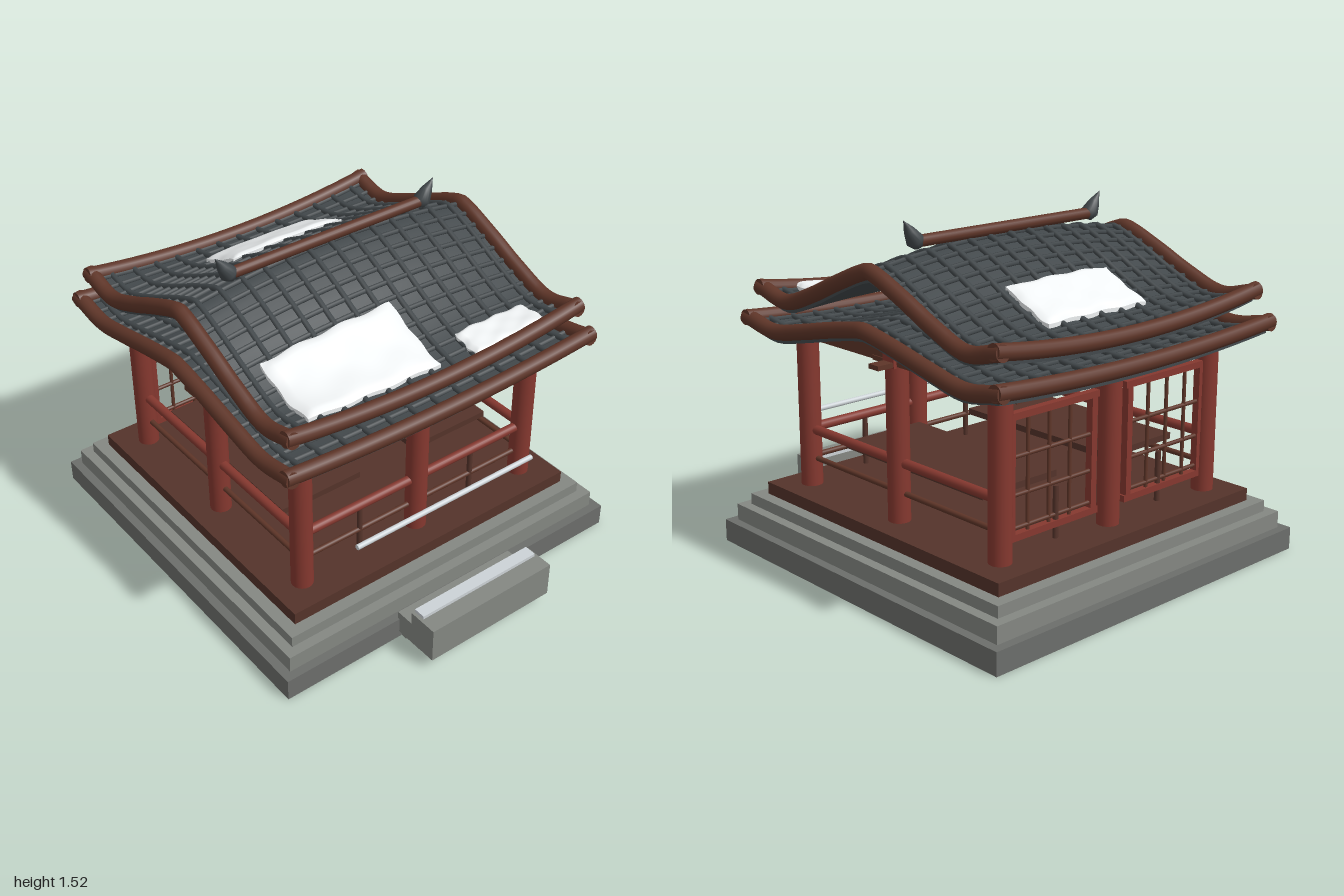
import * as THREE from 'three';
import { mergeGeometries } from 'three/addons/utils/BufferGeometryUtils.js';

const ZC = -0.115; // centre of the pavilion in z
const mat = (color) => new THREE.MeshStandardMaterial({ color });
const V = (x, y, z) => new THREE.Vector3(x, y, z);

export function createModel() {
  const root = new THREE.Group();
  const red = mat(0x85382f), brown = mat(0x5e3528), deckBrown = mat(0x54332a), tile = mat(0x42484b);
  const stone = mat(0x848782), darkStone = mat(0x6c6e6b), snow = mat(0xeef1f2), ice = mat(0xccd2d6);

  const add = (parent, name, geo, material) => {
    const m = new THREE.Mesh(geo, material);
    m.name = name;
    parent.add(m);
    return m;
  };
  // box given by its extents
  const box = (parent, name, material, x0, x1, y0, y1, z0, z1) => {
    const m = add(parent, name, new THREE.BoxGeometry(x1 - x0, y1 - y0, z1 - z0), material);
    m.position.set((x0 + x1) / 2, (y0 + y1) / 2, (z0 + z1) / 2);
    return m;
  };
  // straight round bar between two points
  const bar = (parent, name, material, a, b, r) => {
    const m = add(parent, name, new THREE.CylinderGeometry(r, r, a.distanceTo(b), 20), material);
    m.position.copy(a).lerp(b, 0.5);
    m.quaternion.setFromUnitVectors(V(0, 1, 0), b.clone().sub(a).normalize());
    return m;
  };
  // curved bar with flat ends
  const tube = (pts, r, sides, segs = pts.length * 2) => {
    const curve = new THREE.CatmullRomCurve3(pts);
    const cap = (t, sign) => {
      const d = curve.getTangent(t).multiplyScalar(sign), p = curve.getPoint(t);
      const q = new THREE.Quaternion().setFromUnitVectors(V(0, 0, 1), d);
      return new THREE.CircleGeometry(r, sides).applyQuaternion(q).translate(p.x, p.y, p.z);
    };
    return mergeGeometries([new THREE.TubeGeometry(curve, segs, r, sides), cap(0, -1), cap(1, 1)]);
  };
  const line = (n, f) => Array.from({ length: n + 1 }, (_, i) => f((i / n) * 2 - 1));

  // stepped stone base and wooden deck
  const tiers = [[0.885, 0, 0.1, darkStone], [0.845, 0.1, 0.175, stone], [0.8, 0.175, 0.225, stone], [0.745, 0.225, 0.28, deckBrown]];
  tiers.forEach(([h, y0, y1, m], i) => box(root, i < 3 ? 'baseTier' : 'deck', m, -h, h, y0, y1, ZC - h, ZC + h));

  // front steps
  box(root, 'stepFoot', stone, -0.295, 0.295, 0, 0.05, 0.74, 0.8);
  box(root, 'stepBack', stone, -0.31, 0.31, 0.03, 0.135, 0.76, 0.9);
  box(root, 'stepFront', stone, -0.325, 0.325, 0.055, 0.217, 0.863, 1);
  box(root, 'stepSnow', ice, -0.31, 0.31, 0.21, 0.232, 0.865, 0.92);

  // pillars with crossed brackets on top
  const P = 0.605, zF = ZC + P, zB = ZC - P;
  for (const x of [-P, 0, P]) for (const z of [zB, ZC, zF]) {
    if (x === 0 && z === ZC) continue;
    bar(root, 'pillar', red, V(x, 0.28, z), V(x, 0.955, z), 0.048);
    box(root, 'bracket', brown, x - 0.12, x + 0.12, 0.945, 0.965, z - 0.03, z + 0.03);
    box(root, 'bracket', brown, x - 0.03, x + 0.03, 0.947, 0.967, z - 0.12, z + 0.12);
  }

  // side beams, caps and railings
  for (const s of [-1, 1]) {
    const x = s * P;
    const shape = new THREE.Shape([[-0.62, 0.95], [0.62, 0.95], [0.45, 0.985], [0.1, 1.02], [-0.1, 1.02], [-0.45, 0.985]].map(([a, b]) => new THREE.Vector2(a, b)));
    const g = new THREE.ExtrudeGeometry(shape, { depth: 0.05, bevelEnabled: false });
    g.translate(0, 0, -0.025).rotateY(Math.PI / 2);
    add(root, 'sideBeam', g, brown).position.set(x, 0, ZC);
    box(root, 'beamCap', red, x - 0.045, x + 0.045, 0.94, 1.02, ZC - 0.035, ZC + 0.035);
    bar(root, 'sideRail', red, V(x, 0.535, zB), V(x, 0.535, zF), 0.021);
    bar(root, 'lowSideRail', brown, V(x, 0.405, zB), V(x, 0.405, zF), 0.012);
    // bench slabs and their supports
    const [a, b] = [0.15 * s, 0.56 * s].sort((p, q) => p - q);
    box(root, 'bench', deckBrown, a, b, 0.48, 0.508, -0.57, 0.295);
    for (const z of [-0.06, -0.22]) box(root, 'benchStub', deckBrown, 0.375 * s - 0.012, 0.375 * s + 0.012, 0.462, 0.485, z - 0.012, z + 0.012);
    for (const z of [zB, zF]) bar(root, 'railPost', deckBrown, V(0.305 * s, 0.3, z), V(0.305 * s, 0.52, z), 0.012);
  }
  bar(root, 'frontRail', red, V(-P, 0.535, zF), V(P, 0.535, zF), 0.021);
  bar(root, 'lowFrontRail', brown, V(-P, 0.405, zF), V(P, 0.405, zF), 0.012);
  bar(root, 'snowOnRail', ice, V(-0.475, 0.535, 0.69), V(0.475, 0.535, 0.69), 0.012);

  // lattice screens between the back pillars
  for (const s of [-1, 1]) {
    const screen = new THREE.Group();
    screen.name = 'latticeScreen';
    root.add(screen);
    for (const y of [0.365, 0.855]) box(screen, 'frameBar', red, s * 0.325 - 0.245, s * 0.325 + 0.245, y - 0.014, y + 0.014, zB - 0.016, zB + 0.016);
    for (const x of [0.105, 0.555]) box(screen, 'frameSide', red, s * x - 0.015, s * x + 0.015, 0.36, 0.86, zB - 0.016, zB + 0.016);
    for (const x of [0.23, 0.345, 0.46]) bar(screen, 'latticeUpright', brown, V(s * x, 0.36, zB), V(s * x, 0.86, zB), 0.008);
    for (const y of [0.4, 0.535, 0.69]) bar(screen, 'latticeBar', brown, V(s * 0.1, y, zB), V(s * 0.56, y, zB), 0.009);
  }

  // finial at a ridge end
  const finialGeo = new THREE.LatheGeometry([[0, 0], [0.022, 0], [0.038, 0.03], [0.024, 0.08], [0, 0.135]].map(([x, y]) => new THREE.Vector2(x, y)), 16);

  // roof: mid and rake are ridge-to-eave heights at the middle and at the gable ends
  const roof = (name, X, Z, mid, rake, ridgeY) => {
    const g = new THREE.Group();
    g.name = name;
    root.add(g);
    const spline = (ys) => new THREE.SplineCurve(ys.map((y, i) => new THREE.Vector2(i / (ys.length - 1), y)));
    const cm = spline(mid), cr = spline(rake);
    const surf = (x, z) => {
      const t = Math.min(1, Math.abs(z - ZC) / Z), u = Math.min(1, Math.abs(x / X)) ** 2;
      return THREE.MathUtils.lerp(cm.getPoint(t).y, cr.getPoint(t).y, u);
    };

    // curved slab
    const slab = new THREE.BoxGeometry(2 * X, 0.035, 2 * Z, 24, 1, 32).translate(0, -0.02, ZC);
    const p = slab.attributes.position;
    for (let i = 0; i < p.count; i++) p.setY(i, p.getY(i) + surf(p.getX(i), p.getZ(i)));
    slab.computeVertexNormals();
    add(g, 'roofSlab', slab, tile);

    // tile ribs down the slope and rows across it
    const tiles = [];
    for (let i = -6; i <= 6; i++) {
      const x = (i / 6) * (X - 0.08);
      tiles.push(tube(line(24, (k) => V(x, surf(x, ZC + k * Z) + 0.008, ZC + k * Z)), 0.013, 6));
    }
    for (let i = -11; i <= 11; i++) {
      const z = ZC + (i / 11.5) * Z;
      tiles.push(tube(line(12, (k) => V(k * X, surf(k * X, z) + 0.002, z)), 0.011, 6));
    }
    add(g, 'roofTiles', mergeGeometries(tiles), tile);

    // round trim along eaves and gables
    for (const s of [-1, 1]) {
      const z = ZC + s * Z, x = s * X;
      add(g, 'eaveTrim', tube(line(16, (k) => V(k * (X + 0.025), surf(k * X, z) + 0.012, z)), 0.034, 16), brown);
      add(g, 'gableTrim', tube(line(32, (k) => V(x, surf(x, ZC + k * Z) + 0.008, ZC + k * (Z + 0.025))), 0.034, 16), brown);
      const f = add(g, 'finial', finialGeo, tile);
      f.position.set(s * 0.485, ridgeY - 0.02, ZC);
      f.rotation.z = -s * 0.6;
    }
    bar(g, 'ridge', brown, V(-0.49, ridgeY, ZC), V(0.49, ridgeY, ZC), 0.025);
    return surf;
  };
  roof('lowerRoof', 0.775, 0.78, [1.13, 1.085, 1.03, 0.99, 0.985], [1.105, 1.07, 1.025, 0.99, 1.02], 1.15);
  const surf = roof('upperRoof', 0.735, 0.73, [1.4, 1.325, 1.225, 1.14, 1.095], [1.335, 1.265, 1.18, 1.118, 1.155], 1.43);

  // snow patches: soft-edged sheets lying on the upper roof
  for (const [x0, x1, z0, z1] of [[-0.6, 0.05, 0.23, 0.55], [0.21, 0.59, 0.45, 0.6], [-0.27, 0.3, -0.66, -0.43]]) {
    const geo = new THREE.BoxGeometry(2, 2, 2, 30, 1, 16);
    const p = geo.attributes.position;
    for (let i = 0; i < p.count; i++) {
      const u = p.getX(i), w = p.getZ(i), top = p.getY(i) > 0;
      const x = (x0 + x1) / 2 + u * ((x1 - x0) / 2 + 0.004 * Math.sin(w * 7));
      const z = (z0 + z1) / 2 + w * ((z1 - z0) / 2 + 0.005 * Math.sin(u * 9 + x0));
      const puff = 0.022 + 0.018 * Math.sqrt((1 - u ** 8) * (1 - w ** 8)) + 0.002 * Math.sin(u * 8) * Math.cos(w * 5);
      p.setXYZ(i, x, surf(x, z) + (top ? puff : 0.005), z);
    }
    geo.computeVertexNormals();
    add(root, 'snowPatch', geo, snow);
  }
  return root;
}
